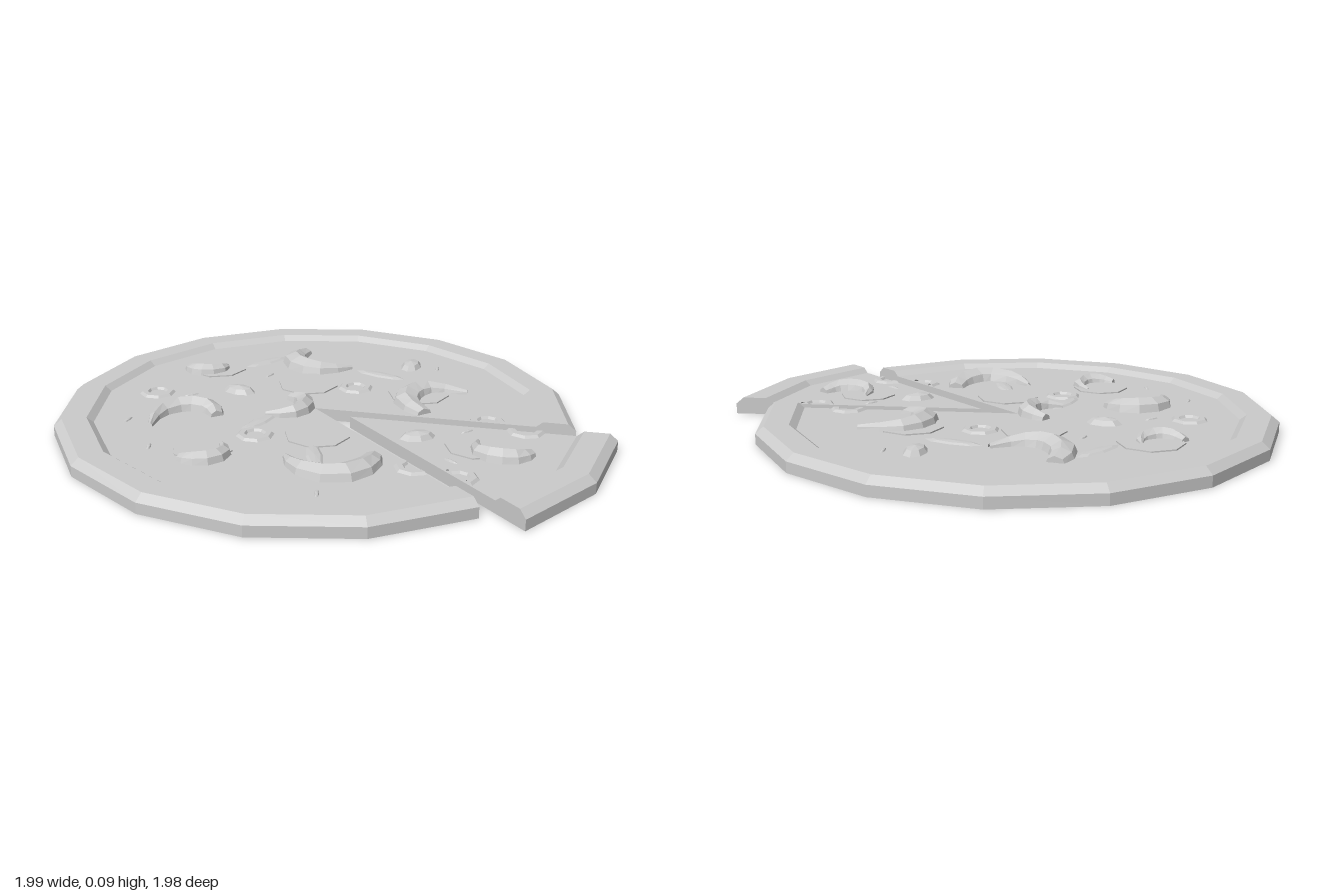
import * as THREE from 'three';

const TOP = 0.045; // height of the cheese
const mat = new THREE.MeshStandardMaterial({ color: 0xcccccc, flatShading: true, side: THREE.DoubleSide });

function add(parent, name, geo, x = 0, y = 0, z = 0, turn = 0) {
  const m = new THREE.Mesh(geo, mat);
  m.name = name;
  m.position.set(x, y, z);
  m.rotation.y = turn;
  parent.add(m);
  return m;
}

// Crust and cheese swept over part of a 16-sided circle, with cut faces
function wedge(parent, name, x, z, start, sectors) {
  const g = new THREE.Group();
  g.name = name;
  g.position.set(x, 0, z);
  const pts = [[0, 0], [0.975, 0], [0.975, 0.04], [0.945, 0.065], [0.855, 0.065], [0.83, TOP], [0, TOP]]
    .map(p => new THREE.Vector2(...p));
  const length = sectors * Math.PI / 8;
  add(g, 'crust', new THREE.LatheGeometry(pts, sectors, start, length));
  for (const a of [start, start + length])
    add(g, 'cutFace', new THREE.ShapeGeometry(new THREE.Shape(pts)), 0, 0, 0, a - Math.PI / 2);
  parent.add(g);
}

// Curved, tapering shrimp from its thick end to its tail, arched cross-section
function shrimp(path, W, H) {
  const curve = new THREE.CatmullRomCurve3(path.map(([x, z]) => new THREE.Vector3(x, TOP, z)));
  const arch = [[-1, -0.1], [-0.8, 0.55], [-0.1, 1], [0.75, 0.6], [1, -0.1]];
  const rows = 8, n = arch.length, pos = [], index = [];
  for (let i = 0; i <= rows; i++) {
    const t = Math.max(0, i - 1) / (rows - 1);
    const p = curve.getPoint(t), d = curve.getTangent(t);
    const s = i === 0 ? 0.02 : Math.sin(Math.PI * (0.2 + 0.74 * t));
    const h = i === 0 ? 0.02 : 0.15 + 0.85 * Math.sin(Math.PI * (0.12 + 0.82 * t));
    for (const [u, v] of arch) pos.push(p.x - d.z * u * W * s, p.y + v * H * h, p.z + d.x * u * W * s);
  }
  for (let i = 0; i < rows; i++)
    for (let j = 0; j < n - 1; j++) {
      const a = i * n + j, b = a + n;
      index.push(a, a + 1, b, b, a + 1, b + 1);
    }
  const geo = new THREE.BufferGeometry();
  geo.setAttribute('position', new THREE.Float32BufferAttribute(pos, 3));
  geo.setIndex(index);
  geo.computeVertexNormals();
  return geo;
}

// Eight-sided olive ring, or half of one where the cut passes through it
function oliveRing(parent, x, z, start = 0, segments = 8) {
  const pts = [[0.07, 0], [0.06, 0.009], [0.04, 0.009], [0.033, 0]].map(p => new THREE.Vector2(...p));
  add(parent, 'oliveRing', new THREE.LatheGeometry(pts, segments, start, segments * Math.PI / 4), x, TOP, z);
}

// Low lump, sphere squashed onto the cheese
function lump(parent, name, x, z, turn, sx, sy, sz) {
  const geo = new THREE.SphereGeometry(1, 8, 4).scale(sx, sy, sz);
  add(parent, name, geo, x, TOP, z, turn);
}

export function createModel() {
  const root = new THREE.Group();
  root.name = 'pizza';
  const E = Math.PI / 8;
  wedge(root, 'mainPizza', -0.025, -0.02, 3 * E, 14);
  wedge(root, 'slice', 0.09, 0.087, E, 2);

  // Thin sausage discs
  for (const [x, z, r] of [[-0.01, -0.28, 0.12], [-0.06, 0.24, 0.12], [-0.475, 0.29, 0.11],
    [-0.35, -0.54, 0.12], [0.4, -0.1, 0.12], [0.47, 0.44, 0.11]])
    add(root, 'sausageDisc', new THREE.CylinderGeometry(r, r, 0.005, 8), x, TOP + 0.0025, z, E);

  // Shrimps
  const shrimps = [
    [[[0.04, -0.67], [-0.02, -0.58], [0, -0.47], [0.08, -0.42], [0.2, -0.44]], 0.055, 0.05],
    [[[-0.47, -0.56], [-0.45, -0.51], [-0.4, -0.48], [-0.33, -0.5], [-0.31, -0.55]], 0.034, 0.04],
    [[[-0.4, 0], [-0.42, -0.07], [-0.51, -0.11], [-0.61, -0.06], [-0.65, 0.06]], 0.045, 0.05],
    [[[-0.1, -0.14], [-0.06, -0.08], [-0.07, -0.01], [-0.13, 0.04], [-0.22, 0.02]], 0.04, 0.05],
    [[[0.37, 0.11], [0.33, 0], [0.37, -0.09], [0.46, -0.13], [0.59, -0.07]], 0.055, 0.05],
    [[[-0.56, 0.36], [-0.52, 0.395], [-0.45, 0.4], [-0.4, 0.34], [-0.41, 0.26]], 0.035, 0.04],
    [[[0.1, 0.46], [0.05, 0.55], [-0.06, 0.6], [-0.17, 0.52], [-0.2, 0.41]], 0.055, 0.05],
    [[[0.64, 0.53], [0.58, 0.565], [0.51, 0.55], [0.46, 0.49], [0.49, 0.4]], 0.042, 0.045]];
  for (const [path, w, h] of shrimps) add(root, 'shrimp', shrimp(path, w, h));

  // Olive rings, two of them shared between the pizza and the slice
  for (const [x, z] of [[-0.61, -0.29], [0.17, -0.21], [-0.28, 0.2]]) oliveRing(root, x, z);
  oliveRing(root, 0.58, 0.225, 3 * E, 4);
  oliveRing(root, 0.69, 0.335, -5 * E, 4);
  oliveRing(root, 0.215, 0.57, 9 * E, 4);
  oliveRing(root, 0.34, 0.675, E, 4);

  // Mushroom pieces
  for (const [x, z, turn] of [[-0.29, -0.25, -0.6], [0.45, -0.42, 1.1], [0.29, 0.32, 0.1]])
    lump(root, 'mushroomPiece', x, z, turn, 0.068, 0.025, 0.042);

  // Low cheese folds
  for (const [x, z, turn] of [[-0.14, -0.58, 0.5], [0.3, -0.34, -0.7], [-0.25, 0.08, 0.8], [-0.1, 0.42, 1.5]])
    lump(root, 'cheeseFold', x, z, turn, 0.11, 0.008, 0.03);

  // Herb flakes
  for (const [x, z, turn] of [[-0.15, -0.41, 0.8], [0.55, -0.37, 1.2], [-0.73, -0.02, 1], [0.35, 0.54, -1],
    [-0.48, -0.24, 0.3], [-0.14, 0.71, 1.4], [-0.66, 0.24, 1.4], [0.48, 0.3, 0.4]])
    lump(root, 'herbFlake', x, z, turn, 0.03, 0.006, 0.008);
  return root;
}
